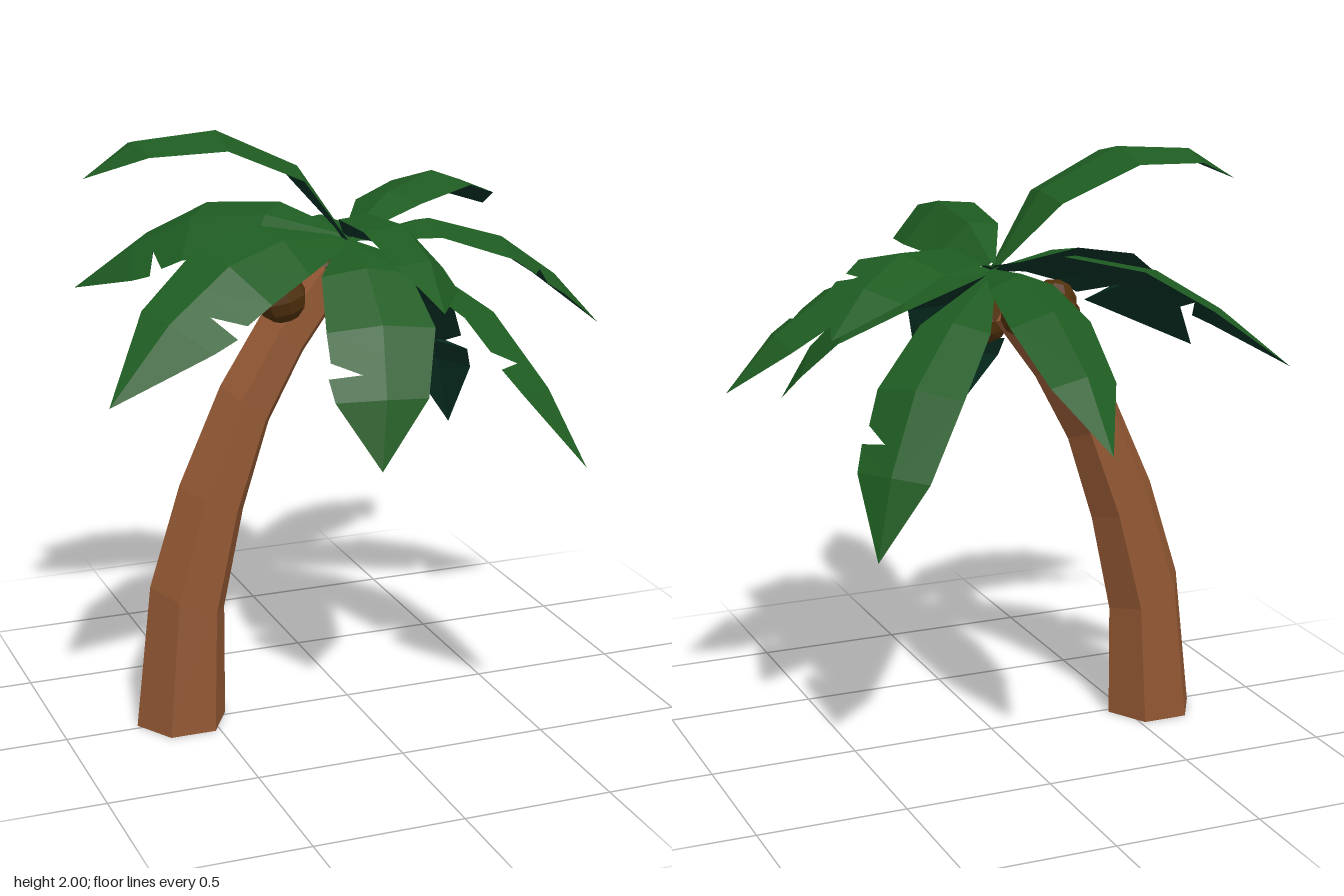
import * as THREE from 'three';

const V = (x, y, z) => new THREE.Vector3(x, y, z);
const mat = (name, color) => {
  const m = new THREE.MeshStandardMaterial({ color });
  m.name = name;
  return m;
};

// Unshared triangles give flat facets
function facets(tris) {
  const g = new THREE.BufferGeometry().setFromPoints(tris);
  g.computeVertexNormals();
  return g;
}

// Hexagonal trunk lofted through leaning rings: x, y, radius, lean angle
function trunkGeometries() {
  const rings = [
    [-0.595, 0, 0.155, 0], [-0.565, 0.44, 0.138, 0.38], [-0.475, 0.78, 0.122, 0.45],
    [-0.355, 1.09, 0.108, 0.7], [-0.22, 1.32, 0.1, 0.8], [-0.07, 1.51, 0.09, 0.8],
  ].map(([x, y, r, a]) => ({
    centre: V(x, y, -0.02),
    pts: Array.from({ length: 6 }, (_, j) => {
      const t = j * Math.PI / 3, e = Math.cos(t) * r;
      return V(x + e * Math.cos(a), y - e * Math.sin(a), -0.02 + Math.sin(t) * r);
    }),
  }));
  const walls = [], base = [], top = rings[rings.length - 1];
  for (let j = 0; j < 6; j++) {
    const k = (j + 1) % 6;
    for (let i = 0; i < rings.length - 1; i++) {
      const a = rings[i].pts, b = rings[i + 1].pts;
      walls.push(a[j], b[j], a[k], a[k], b[j], b[k]);
    }
    walls.push(top.centre, top.pts[k], top.pts[j]);
    base.push(rings[0].centre, rings[0].pts[j], rings[0].pts[k]);
  }
  return { walls: facets(walls), base: facets(base) };
}

// Half outlines of a frond: position along the rib, share of the half width
const WHOLE = [[0, 0.12], [0.25, 0.82], [0.5, 1], [0.75, 0.8], [1, 0]];
const TORN = [[0, 0.12], [0.25, 0.82], [0.5, 1], [0.61, 0.95], [0.66, 0.4],
  [0.665, 1], [0.75, 0.9], [1, 0]];

// Ridged frond with a thin closed underside. torn: 1 right edge, -1 left edge;
// droop lowers both edges, roll lifts the right edge and lowers the left
function frondGeometry(path, width, torn, droop, roll) {
  const rib = path.map((p) => V(...p)), last = rib.length - 1;
  const side = rib[last].clone().sub(rib[0]).cross(V(0, 1, 0)).normalize();
  const at = (t) => {
    const i = Math.min(Math.floor(t * last), last - 1);
    return rib[i].clone().lerp(rib[i + 1], t * last - i);
  };
  const upper = [], lower = [];
  for (const s of [1, -1]) {
    const stations = (s === torn ? TORN : WHOLE).map(([t, w]) => {
      const c = at(t);
      const along = at(Math.min(1, t + 0.12)).sub(at(Math.max(0, t - 0.12)));
      const n = side.clone().cross(along).normalize();
      const edge = c.clone().addScaledVector(side, s * w * width)
        .addScaledVector(n, (s * roll - droop) * w * width);
      const under = c.clone().addScaledVector(n, t === 1 ? 0 : -0.014);
      return { c, edge, under };
    });
    for (let i = 0; i < stations.length - 1; i++) {
      const a = stations[i], b = stations[i + 1];
      const quad = (list, key, flip) => {
        const q = [[a[key], a.edge, b[key]], [a.edge, b.edge, b[key]]];
        q.forEach((f) => list.push(...(flip ? [f[0], f[2], f[1]] : f)));
      };
      quad(upper, 'c', s < 0);
      quad(lower, 'under', s > 0);
    }
  }
  const g = facets([...upper, ...lower]);
  g.addGroup(0, upper.length, 0);
  g.addGroup(upper.length, lower.length, 1);
  return g;
}

// Each frond: rib points, half width, torn edge, droop, roll
const FRONDS = {
  backFrond: [[[0, 1.62, 0], [0, 1.65, -0.25], [0, 1.58, -0.5], [0, 1.43, -0.75], [0.01, 1.235, -0.96]], 0.135, 0, 0.4, 0],
  frontFrond: [[[0, 1.64, 0], [0, 1.74, 0.2], [-0.01, 1.765, 0.5], [-0.03, 1.71, 0.75], [-0.07, 1.6, 0.955]], 0.13, 0, 0.6, 0.5],
  raisedRightFrond: [[[0, 1.62, 0], [-0.17, 1.87, -0.01], [-0.44, 2, -0.02], [-0.7, 1.98, -0.03], [-0.87, 1.87, -0.04]], 0.175, 0, 0.22, 0],
  frontRightFrond: [[[0, 1.62, 0], [-0.25, 1.65, 0.08], [-0.46, 1.6, 0.16], [-0.68, 1.45, 0.23], [-0.9, 1.22, 0.3]], 0.16, -1, 0.25, 0.45],
  backRightFrond: [[[0, 1.63, 0], [-0.22, 1.68, -0.18], [-0.42, 1.65, -0.36], [-0.58, 1.54, -0.5], [-0.75, 1.37, -0.66]], 0.155, -1, 0.3, 0.45],
  backLeftFrond: [[[0, 1.63, 0], [0.2, 1.73, -0.15], [0.43, 1.76, -0.31], [0.6, 1.69, -0.45], [0.75, 1.57, -0.58]], 0.155, 1, 0.28, 0.05],
  leftFrond: [[[0, 1.62, 0], [0.28, 1.67, 0.02], [0.54, 1.59, 0.03], [0.73, 1.45, 0.05], [0.89, 1.27, 0.07]], 0.178, 1, 0.25, 0],
  frontLeftFrond: [[[0, 1.62, 0], [0.17, 1.57, 0.22], [0.32, 1.45, 0.45], [0.41, 1.25, 0.67], [0.47, 1.03, 0.83]], 0.165, 1, 0.35, 0.45],
  lowBackLeftFrond: [[[0, 1.6, 0], [0.2, 1.49, -0.16], [0.38, 1.32, -0.3], [0.5, 1.07, -0.39], [0.56, 0.81, -0.43]], 0.16, 1, 0.22, 0],
  lowFrontFrond: [[[0, 1.62, 0], [-0.02, 1.57, 0.22], [-0.04, 1.43, 0.41], [-0.07, 1.22, 0.52], [-0.1, 1, 0.56]], 0.175, 1, 0.2, 0],
};

export function createModel() {
  const bark = mat('bark brown', 0x915733);
  const cut = mat('trunk base black', 0x060505);
  const leaf = mat('leaf green', 0x1e5b21);
  const leafUnder = mat('leaf underside', 0x073024);
  const shell = mat('coconut brown', 0x50300c);
  const palm = new THREE.Group();
  palm.name = 'palmTree';
  const add = (parent, name, geometry, material) => {
    const mesh = new THREE.Mesh(geometry, material);
    mesh.name = name;
    parent.add(mesh);
    return mesh;
  };

  const { walls, base } = trunkGeometries();
  add(palm, 'trunk', walls, bark);
  add(palm, 'trunkBase', base, cut);

  // Crown of fronds
  const crown = new THREE.Group();
  crown.name = 'crown';
  palm.add(crown);
  for (const [name, args] of Object.entries(FRONDS)) {
    add(crown, name, frondGeometry(...args), [leaf, leafUnder]);
  }

  // Coconuts clustered under the crown
  const nut = new THREE.SphereGeometry(0.085, 8, 6).toNonIndexed();
  nut.computeVertexNormals();
  [[-0.26, 1.465, 0.08], [-0.19, 1.46, -0.1], [-0.07, 1.49, -0.12], [0, 1.44, 0.06]]
    .forEach((p, i) => {
      const mesh = add(palm, 'coconut' + (i + 1), nut, shell);
      mesh.position.set(...p);
      mesh.rotation.set(0.3 * i, 0.5 * i, 0.25);
    });
  return palm;
}
